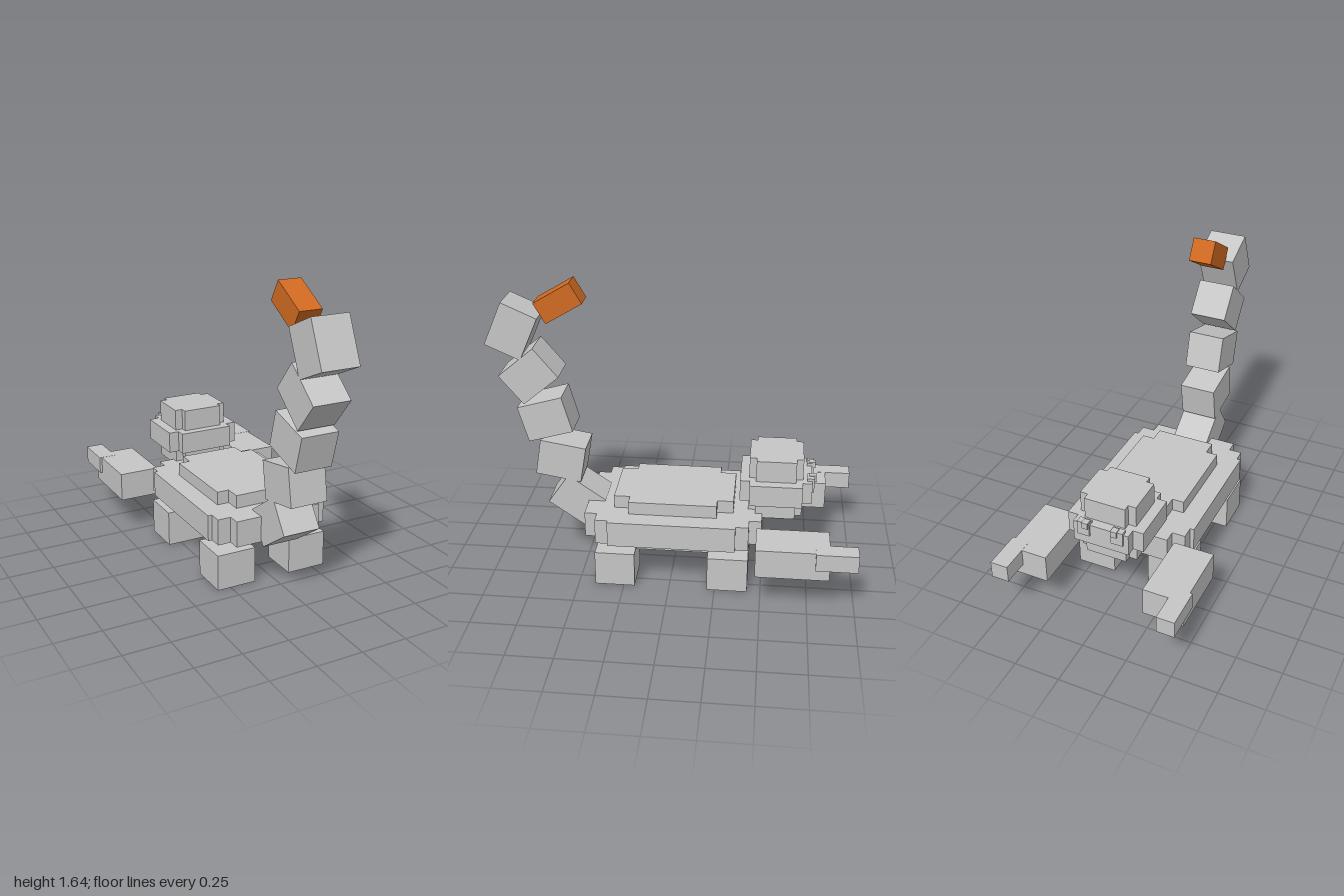
import * as THREE from 'three';

export function createModel() {
  const root = new THREE.Group();
  const grey = new THREE.MeshStandardMaterial({ color: 0xc6c6c6 });
  grey.name = 'shell grey';
  const orange = new THREE.MeshStandardMaterial({ color: 0xd06a22 });
  orange.name = 'stinger orange';

  const add = (name, geometry, material = grey) => {
    const mesh = new THREE.Mesh(geometry, material);
    mesh.name = name;
    root.add(mesh);
    return mesh;
  };

  // Box given by its limits on each axis
  const box = (name, [x0, x1], [y0, y1], [z0, z1]) =>
    add(name, new THREE.BoxGeometry(x1 - x0, y1 - y0, z1 - z0))
      .position.set((x0 + x1) / 2, (y0 + y1) / 2, (z0 + z1) / 2);

  // The same box on both sides of the body
  const pair = (name, [x0, x1], y, z) => {
    box(name + 'Left', [x0, x1], y, z);
    box(name + 'Right', [-x1, -x0], y, z);
  };

  // Slab with stepped corners; steps are [halfWidth, halfDepth], widest first
  const slab = (name, steps, y0, y1, z) => {
    const quarter = [];
    steps.forEach(([w, d], i) => {
      if (i) quarter.push([w, steps[i - 1][1]]);
      quarter.push([w, d]);
    });
    const back = [...quarter].reverse();
    const outline = [
      ...quarter,
      ...back.map(([x, d]) => [-x, d]),
      ...quarter.map(([x, d]) => [-x, -d]),
      ...back.map(([x, d]) => [x, -d]),
    ].map(([x, d]) => new THREE.Vector2(x, d));
    const geometry = new THREE.ExtrudeGeometry(new THREE.Shape(outline), { depth: y1 - y0, bevelEnabled: false });
    geometry.rotateX(-Math.PI / 2);
    add(name, geometry).position.set(0, y0, z);
  };

  // Body: wide rim around a taller core
  slab('bodyRim', [[0.342, 0.345], [0.32, 0.415], [0.247, 0.482]], 0.257, 0.4, -0.012);
  slab('bodyCore', [[0.235, 0.24], [0.168, 0.328]], 0.182, 0.472, -0.01);

  // Head: tall core with a wide band
  slab('headCore', [[0.157, 0.107], [0.114, 0.145]], 0.375, 0.715, -0.562);
  slab('headBand', [[0.213, 0.142], [0.155, 0.194]], 0.475, 0.595, -0.563);

  // Eyes
  pair('eye', [0.06, 0.128], [0.53, 0.61], [-0.768, -0.73]);
  pair('pupil', [0.064, 0.098], [0.58, 0.615], [-0.778, -0.74]);

  // Legs
  pair('frontLeg', [0.104, 0.324], [0, 0.198], [-0.428, -0.208]);
  pair('rearLeg', [0.104, 0.324], [0, 0.198], [0.19, 0.408]);

  // Pincers
  pair('pincerArm', [0.277, 0.502], [0.215, 0.375], [-0.855, -0.468]);
  pair('pincerTip', [0.418, 0.516], [0.28, 0.376], [-1, -0.78]);

  // Tail segments: z, y, tilt
  [
    [0.537, 0.393, -0.606],
    [0.62, 0.636, -0.168],
    [0.695, 0.882, 0.275],
    [0.773, 1.128, 0.695],
    [0.853, 1.377, 1.155],
  ].forEach(([z, y, tilt], i) => {
    const segment = add('tailSegment' + (i + 1), new THREE.BoxGeometry(0.208, 0.205, 0.253));
    segment.position.set(0, y, z);
    segment.rotation.x = tilt;
  });

  // Stinger
  const stinger = add('stinger', new THREE.BoxGeometry(0.128, 0.127, 0.227), orange);
  stinger.position.set(0, 1.525, 0.605);
  stinger.rotation.x = 0.53;

  return root;
}
